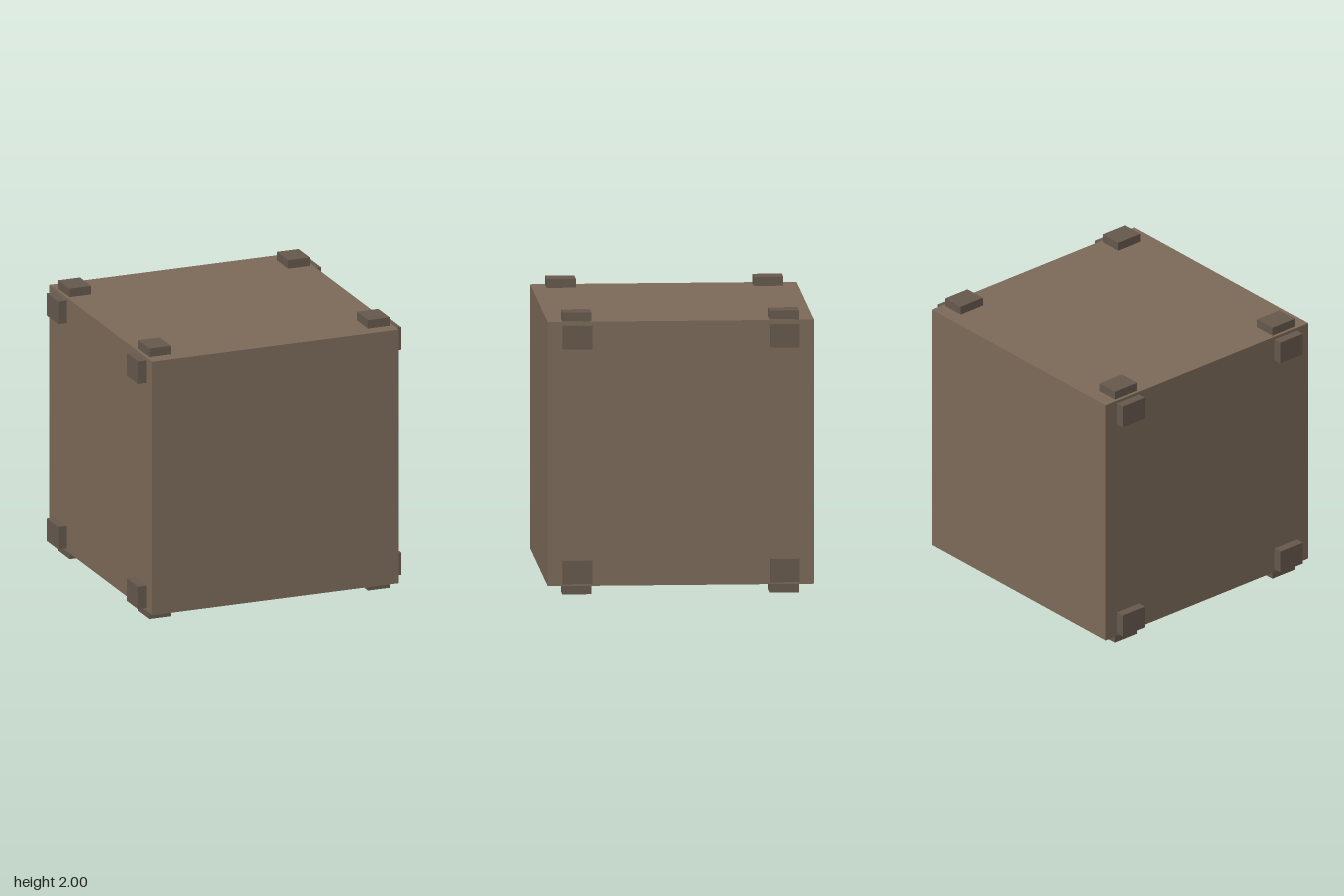
import * as THREE from 'three';

const HALF = 0.9375;   // half the crate's edge
const THICK = 0.0625;  // how far each pad stands proud

export function createModel() {
  const model = new THREE.Group();
  model.name = 'crate';
  const bodyMaterial = new THREE.MeshStandardMaterial({ color: 0x7d6b5a });
  const padMaterial = new THREE.MeshStandardMaterial({ color: 0x675a4e });

  const addBox = (name, material, size, position) => {
    const mesh = new THREE.Mesh(new THREE.BoxGeometry(...size), material);
    mesh.name = name;
    mesh.position.set(...position);
    model.add(mesh);
  };

  // Plain cube body, raised on its bottom pads
  addBox('body', bodyMaterial, [HALF * 2, HALF * 2, HALF * 2], [0, 1, 0]);

  // Corner pads on the top, bottom, left and right faces
  const width = 0.166, depth = 0.206;
  const inset = 0.833, zOffset = 0.73;
  const out = HALF + THICK / 2;
  for (const sx of [-1, 1]) {
    for (const sy of [-1, 1]) {
      for (const sz of [-1, 1]) {
        const corner = (sx > 0 ? 'Left' : 'Right') + (sz > 0 ? 'Front' : 'Back');
        const level = sy > 0 ? 'top' : 'bottom';
        addBox(`${level}Pad${corner}`, padMaterial,
          [width, THICK, depth], [sx * inset, 1 + sy * out, sz * zOffset]);
        addBox(`${level}SidePad${corner}`, padMaterial,
          [THICK, width, depth], [sx * out, 1 + sy * inset, sz * zOffset]);
      }
    }
  }
  return model;
}
